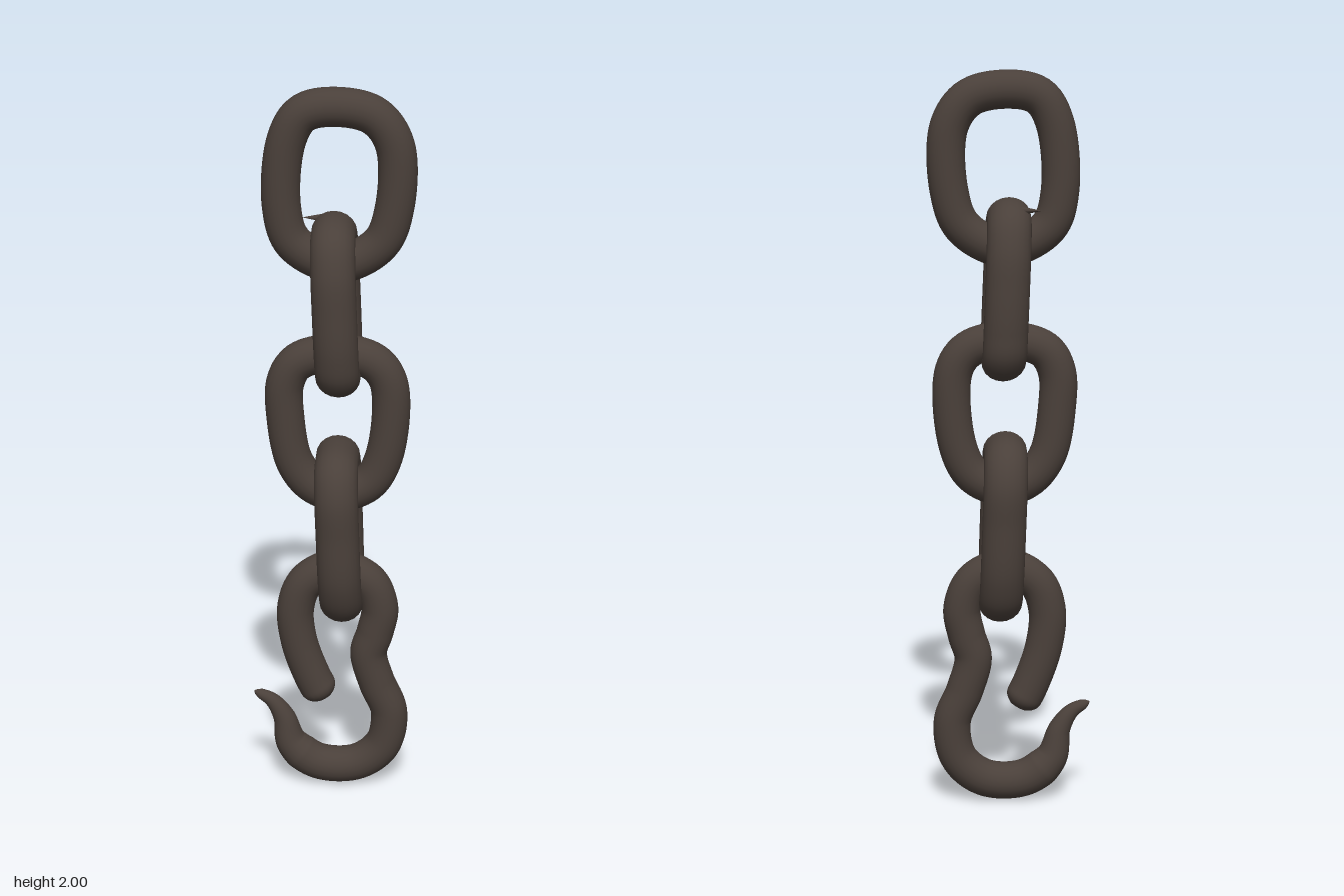
import * as THREE from 'three';
import { mergeVertices } from 'three/addons/utils/BufferGeometryUtils.js';

const iron = new THREE.MeshStandardMaterial({ color: 0x4a403a });
iron.name = 'dark iron';

const SIDES = 20;

// Sweeps a round bar along a curve; radiusAt(u) sets thickness, wide stretches it along x or z
function bar(name, points, closed, segments, radiusAt) {
  const curve = new THREE.CatmullRomCurve3(points, closed, 'centripetal');
  let geo = new THREE.TubeGeometry(curve, segments, 1, SIDES, closed);
  const pos = geo.attributes.position;
  const p = new THREE.Vector3();
  for (let i = 0; i <= segments; i++) {
    const u = i / segments;
    const centre = curve.getPointAt(u);
    const r = Math.max(radiusAt(u), 0.0004);
    for (let j = 0; j <= SIDES; j++) {
      const k = i * (SIDES + 1) + j;
      p.fromBufferAttribute(pos, k).sub(centre).multiplyScalar(r).add(centre);
      pos.setXYZ(k, p.x, p.y, p.z);
    }
  }
  // weld the seam so the shading stays smooth
  geo.deleteAttribute('uv');
  geo.deleteAttribute('normal');
  geo = mergeVertices(geo, 1e-5);
  geo.computeVertexNormals();
  const mesh = new THREE.Mesh(geo, iron);
  mesh.name = name;
  return mesh;
}

// Link lying in the front plane
const frontLink = (name, pts) =>
  bar(name, pts.map(([x, y]) => new THREE.Vector3(x, y, 0)), true, 96, () => 0.051);

// Link turned sideways, leaning slightly in x and a little thicker across
function sideLink(name, pts, xAt) {
  const mesh = bar(name, pts.map(([z, y]) => new THREE.Vector3(0, y, z)), true, 96, () => 0.051);
  const pos = mesh.geometry.attributes.position;
  for (let i = 0; i < pos.count; i++) {
    pos.setX(i, pos.getX(i) * 1.15 + xAt(pos.getY(i)));
  }
  mesh.geometry.computeVertexNormals();
  return mesh;
}

export function createModel() {
  const group = new THREE.Group();
  group.name = 'chainWithHook';

  group.add(frontLink('topLink', [
    [0.01, 1.948], [-0.075, 1.93], [-0.117, 1.86], [-0.131, 1.68], [-0.1, 1.585],
    [0.015, 1.53], [0.125, 1.585], [0.162, 1.68], [0.162, 1.85], [0.11, 1.925],
  ]));

  group.add(sideLink('upperSideLink', [
    [0, 1.613], [0.07, 1.595], [0.103, 1.53], [0.113, 1.42], [0.112, 1.31], [0.095, 1.25],
    [0.045, 1.233], [-0.06, 1.233], [-0.105, 1.255], [-0.115, 1.32], [-0.115, 1.43],
    [-0.104, 1.53], [-0.07, 1.595],
  ], y => 0.005 + (1.6 - y) * 0.04));

  group.add(frontLink('middleLink', [
    [0.01, 1.283], [-0.09, 1.257], [-0.124, 1.2], [-0.125, 1.1], [-0.1, 0.97], [-0.05, 0.905],
    [0.02, 0.882], [0.1, 0.915], [0.143, 1.0], [0.152, 1.2], [0.11, 1.26],
  ]));

  group.add(sideLink('lowerSideLink', [
    [0, 0.978], [0.075, 0.965], [0.107, 0.91], [0.11, 0.8], [0.103, 0.66], [0.065, 0.585],
    [0, 0.567], [-0.065, 0.58], [-0.1, 0.65], [-0.112, 0.8], [-0.112, 0.91], [-0.075, 0.965],
  ], y => 0.014 + (0.98 - y) * 0.035));

  // Open eye, S-shaped neck and pointed hook in one bar
  const hookPath = [
    [-0.02, 0.262], [-0.055, 0.33], [-0.092, 0.44], [-0.1, 0.54], [-0.07, 0.618], [0.01, 0.66],
    [0.1, 0.622], [0.132, 0.545], [0.12, 0.47], [0.102, 0.405], [0.125, 0.315], [0.16, 0.225],
    [0.142, 0.12], [0.07, 0.062], [-0.04, 0.062], [-0.112, 0.118], [-0.135, 0.2],
    [-0.168, 0.25], [-0.218, 0.278],
  ];
  group.add(bar('hook', hookPath.map(([x, y]) => new THREE.Vector3(x, y, 0)), false, 240, u => {
    const start = Math.min(u / 0.026, 1);           // rounded blunt end
    const end = Math.min((1 - u) / 0.15, 1);        // tapering point
    const blunt = Math.sqrt(1 - (1 - start) ** 2);
    const tipCap = Math.sqrt(Math.min((1 - u) / 0.012, 1));
    return 0.051 * blunt * (0.22 + 0.78 * end) * tipCap;
  }));

  // Small burr where the top two links meet
  const burr = new THREE.Mesh(new THREE.ConeGeometry(0.012, 0.06, 8), iron);
  burr.name = 'burr';
  burr.rotation.z = Math.PI / 2;
  burr.position.set(-0.052, 1.635, -0.066);
  group.add(burr);

  return group;
}
